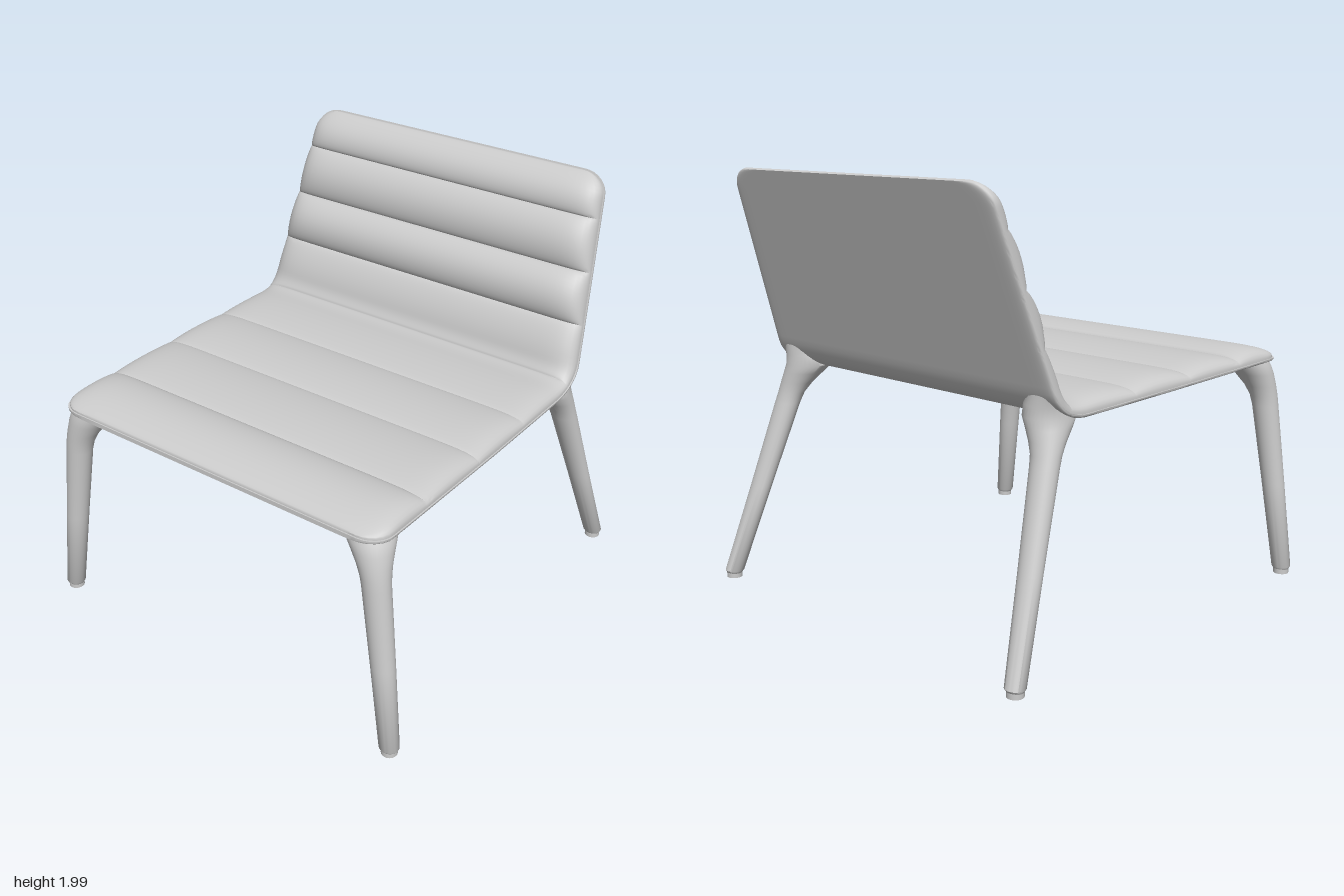
import * as THREE from 'three';
import { toCreasedNormals } from 'three/addons/utils/BufferGeometryUtils.js';

const material = new THREE.MeshStandardMaterial({ color: 0xcccccc });
const v = (y, z) => new THREE.Vector3(0, y, z);

// Side profile: seat, bend, backrest
const profile = new THREE.CurvePath();
profile.add(new THREE.LineCurve3(v(1.09, 0.972), v(1.055, -0.46)));
profile.add(new THREE.QuadraticBezierCurve3(v(1.055, -0.46), v(1.05, -0.62), v(1.16, -0.66)));
profile.add(new THREE.LineCurve3(v(1.16, -0.66), v(1.995, -0.943)));
const LENGTH = profile.getLength();

// Padding seams [position along profile, height] and the rise of each roll between them
const seams = [[0, 0], [0.134, 0.033], [0.29, 0.036], [0.442, 0.037], [0.607, 0.035],
  [0.726, 0.042], [0.823, 0.042], [0.921, 0.05], [1, 0]];
const rises = [0.042, 0.024, 0.024, 0.02, 0.034, 0.056, 0.046, 0.044];

// Stations along the profile, closer together at the seams
const stations = [];
rises.forEach((rise, r) => {
  const [u0, h0] = seams[r], [u1, h1] = seams[r + 1];
  for (let k = r ? 1 : 0; k <= 16; k++) {
    const t = (1 - Math.cos((Math.PI * k) / 16)) / 2;
    const bulge = Math.pow(Math.max(0, Math.sin(Math.PI * t)), 0.65);
    stations.push({ u: u0 + (u1 - u0) * t, h: h0 + (h1 - h0) * t + rise * bulge });
  }
});

// Half width: tapered backrest, rounded corners at both ends
function halfWidth(u) {
  const back = THREE.MathUtils.clamp((u - 0.64) / 0.36, 0, 1);
  const front = THREE.MathUtils.clamp((0.35 - u) / 0.35, 0, 1);
  const d = Math.min(u, 1 - u) * LENGTH, r = 0.1;
  const k = Math.max(0, 1 - d / r);
  return 0.905 - 0.09 * back - 0.012 * front - 0.11 * (1 - Math.sqrt(1 - k * k));
}

// Closed slab following the profile between two offset surfaces
function slab(name, inset, lower, upper) {
  const m = 40, ring = 2 * m, pos = [], idx = [];
  for (const { u, h } of stations) {
    const q = inset / LENGTH + u * (1 - (2 * inset) / LENGTH);
    const p = profile.getPoint(q), tan = profile.getTangent(q);
    const w = halfWidth(u) - inset;
    for (let k = 0; k < ring; k++) {
      const j = k < m ? k : ring - 1 - k;
      const t = Math.sin((Math.PI / 2) * ((2 * j) / (m - 1) - 1));
      const o = (k < m ? upper : lower)(t, h);
      pos.push(w * t, p.y - tan.z * o, p.z + tan.y * o);
    }
  }
  const last = (stations.length - 1) * ring;
  for (let i = 0; i < last; i += ring) {
    for (let k = 0; k < ring; k++) {
      const a = i + k, b = i + ((k + 1) % ring);
      idx.push(a, b, a + ring, b, b + ring, a + ring);
    }
  }
  for (let j = 0; j < m - 1; j++) {
    const a = j, b = j + 1, c = ring - 1 - j, d = ring - 2 - j;
    idx.push(a, c, b, b, c, d);
    idx.push(last + a, last + b, last + c, last + b, last + d, last + c);
  }
  return finish(name, pos, idx, 0.7);
}

function finish(name, pos, idx, crease) {
  const g = new THREE.BufferGeometry();
  g.setAttribute('position', new THREE.Float32BufferAttribute(pos, 3));
  g.setIndex(idx);
  const mesh = new THREE.Mesh(toCreasedNormals(g, crease), material);
  mesh.name = name;
  return mesh;
}

// Loft through level ellipses given as [y, xMin, xMax, zMin, zMax]
function loft(name, rings, side) {
  const n = 32, pos = [], idx = [];
  rings.forEach(([y, x0, x1, z0, z1], i) => {
    for (let k = 0; k < n; k++) {
      const a = (2 * Math.PI * k) / n;
      pos.push(side * (x0 + x1) / 2 + ((x1 - x0) / 2) * Math.cos(a), y,
        (z0 + z1) / 2 + ((z1 - z0) / 2) * Math.sin(a));
      if (i) {
        const p = (i - 1) * n + k, q = (i - 1) * n + ((k + 1) % n);
        idx.push(p, p + n, q, q, p + n, q + n);
      }
    }
  });
  const end = (rings.length - 1) * n;
  for (let k = 1; k < n - 1; k++) idx.push(0, k, k + 1, end, end + k + 1, end + k);
  return finish(name, pos, idx, 0.8);
}

const frontRings = [
  [0.022, 0.914, 0.99, 0.918, 0.99],
  [0.035, 0.905, 0.998, 0.911, 0.999],
  [0.45, 0.843, 0.954, 0.884, 0.988],
  [0.84, 0.782, 0.911, 0.859, 0.977],
  [0.89, 0.77, 0.906, 0.85, 0.976],
  [0.94, 0.746, 0.901, 0.83, 0.974],
  [1.0, 0.703, 0.895, 0.792, 0.97],
  [1.04, 0.668, 0.888, 0.757, 0.965],
  [1.07, 0.645, 0.875, 0.735, 0.955],
];
const rearRings = [
  [0.022, 0.914, 0.99, -0.99, -0.921],
  [0.035, 0.905, 0.998, -0.998, -0.91],
  [0.45, 0.843, 0.954, -0.862, -0.765],
  [0.85, 0.782, 0.913, -0.735, -0.62],
  [0.9, 0.77, 0.908, -0.719, -0.598],
  [0.95, 0.742, 0.905, -0.709, -0.56],
  [1.0, 0.705, 0.902, -0.701, -0.51],
  [1.04, 0.675, 0.899, -0.695, -0.475],
  [1.09, 0.69, 0.892, -0.687, -0.54],
  [1.14, 0.73, 0.88, -0.682, -0.64],
];

export function createModel() {
  const chair = new THREE.Group();
  chair.name = 'loungeChair';

  // Thin shell with a rounded underside, and the padding on it
  const edge = (t, p) => Math.sqrt(Math.max(0, 1 - Math.pow(Math.abs(t), p)));
  chair.add(slab('shell', 0, (t) => -0.016 - 0.013 * edge(t, 40), () => -0.009));
  chair.add(slab('padding', 0.006, () => -0.011, (t, h) => h * edge(t, 16)));

  // Splayed legs flaring into the shell, each on a small foot
  for (const [label, rings, z] of [['front', frontRings, 0.954], ['rear', rearRings, -0.955]]) {
    for (const side of [1, -1]) {
      const leg = new THREE.Group();
      leg.name = label + (side > 0 ? 'LeftLeg' : 'RightLeg');
      leg.add(loft('legPost', rings, side));
      const foot = new THREE.Mesh(new THREE.CylinderGeometry(0.037, 0.037, 0.03, 28), material);
      foot.name = 'foot';
      foot.position.set(side * 0.953, 0.015, z);
      leg.add(foot);
      chair.add(leg);
    }
  }
  return chair;
}
